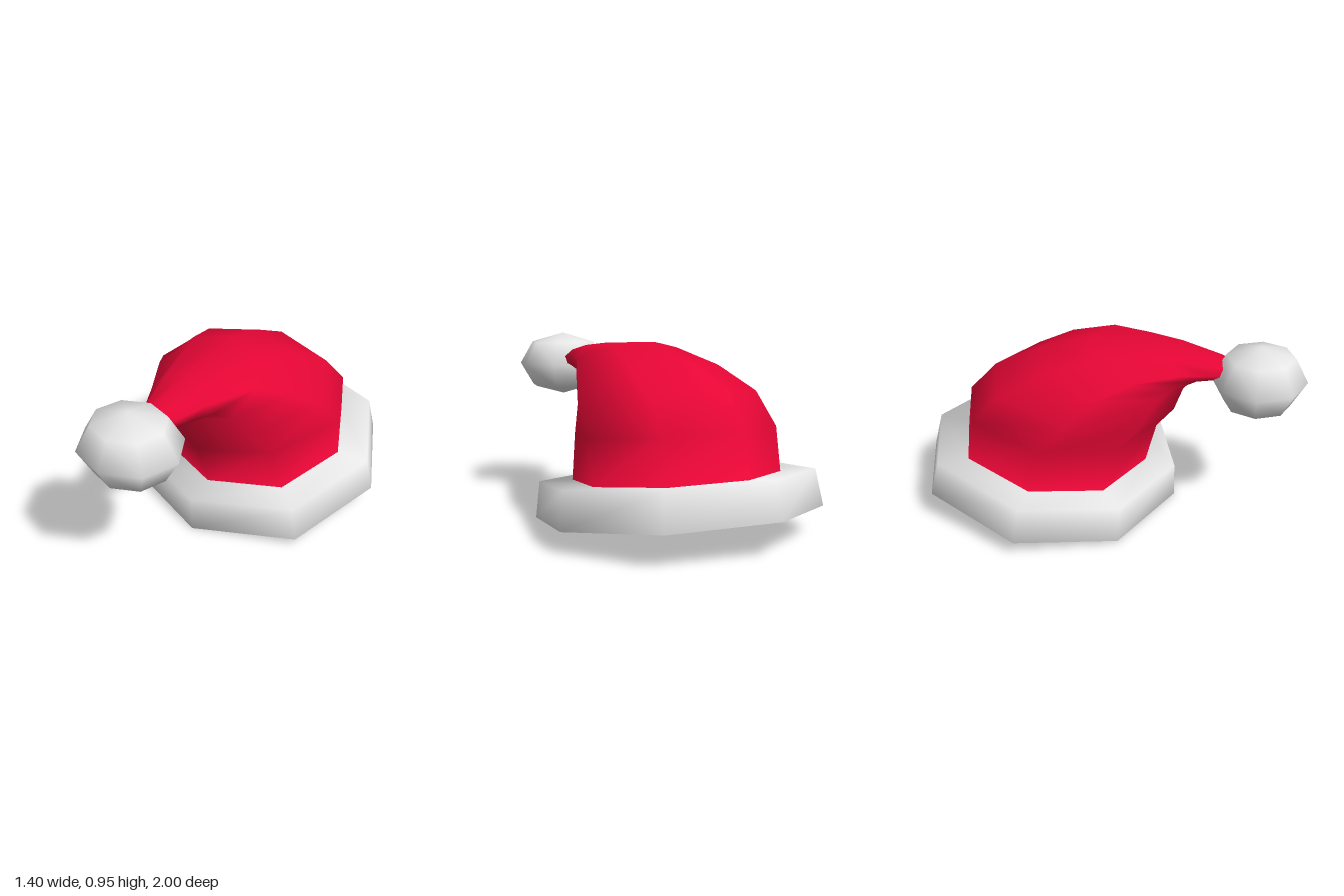
import * as THREE from 'three';

// Uneven octagon shared by every loop of the hat: [across, forward], both -1 to 1
const OUTLINE = [
  [0.2, 1], [0.88, 0.6], [1, -0.2], [0.57, -0.85],
  [-0.2, -1], [-0.82, -0.63], [-1, 0.18], [-0.58, 0.83],
];
const SIDES = OUTLINE.length;

// Loop of half width r at height h above the tilted base of the brim
function brimRing([r, h]) {
  const s = Math.sin(0.13), c = Math.cos(0.13);
  return OUTLINE.map(([u, t]) => [
    r * u,
    0.089 + h * c - 0.98 * r * t * s,
    -0.32 + h * s + 0.98 * r * t * c,
  ]);
}

// Slanted loop between a front and a back point; pinch narrows its front
function capRing([fz, fy, bz, by, x, w, pinch]) {
  return OUTLINE.map(([u, t]) => [
    x + w * u * (1 - pinch * Math.max(t, 0)),
    (fy + by) / 2 + ((fy - by) / 2) * t,
    (fz + bz) / 2 + ((fz - bz) / 2) * t,
  ]);
}

// Triangles joining neighbouring loops from loop i0 to loop i1
function bandIndex(i0, i1) {
  const index = [];
  for (let i = i0; i < i1; i++) {
    for (let k = 0; k < SIDES; k++) {
      const a = i * SIDES + k, b = i * SIDES + ((k + 1) % SIDES);
      index.push(a, b, b + SIDES, a, b + SIDES, a + SIDES);
    }
  }
  return index;
}

export function createModel() {
  const group = new THREE.Group();
  const red = new THREE.MeshStandardMaterial({ color: 0xe60635 });
  red.name = 'red felt';
  const white = new THREE.MeshStandardMaterial({ color: 0xe6e6e6 });
  white.name = 'white fluff';

  // Recessed base, underside, outer wall and top of the brim: [half width, height]
  const brimLoops = [
    [0.001, 0.11], [0.59, 0.09], [0.64, 0], [0.7, 0], [0.672, 0.185],
  ].map(brimRing);

  // Drooping cap: front z, front y, back z, back y, centre x, half width, pinch
  const capLoops = [
    [0.2, 0.21, -0.79, 0.33, 0, 0.505, 0],
    [0.26, 0.44, -0.76, 0.55, 0.01, 0.51, 0.2],
    [0.36, 0.57, -0.6, 0.72, 0.01, 0.485, 0.38],
    [0.4, 0.69, -0.36, 0.84, 0.04, 0.4, 0.4],
    [0.44, 0.73, -0.08, 0.93, 0.065, 0.29, 0.3],
    [0.5, 0.76, 0.33, 0.91, 0.12, 0.165, 0],
    [0.57, 0.76, 0.56, 0.87, 0.145, 0.1, 0],
    [0.64, 0.76, 0.64, 0.84, 0.15, 0.08, 0],
  ].map(capRing);

  // One continuous surface gives smooth normals where cap meets brim
  const loops = [...brimLoops, ...capLoops];
  const whole = new THREE.BufferGeometry();
  whole.setAttribute('position', new THREE.Float32BufferAttribute(loops.flat(2), 3));
  whole.setIndex(bandIndex(0, loops.length - 1));
  whole.computeVertexNormals();

  const addBand = (name, material, i0, i1) => {
    const geometry = whole.clone();
    geometry.setIndex(bandIndex(i0, i1));
    const mesh = new THREE.Mesh(geometry, material);
    mesh.name = name;
    group.add(mesh);
  };
  addBand('recessedBase', white, 0, 2);
  addBand('brim', white, 2, brimLoops.length);
  addBand('cap', red, brimLoops.length, loops.length - 1);

  // Pompom at the tip
  const ball = new THREE.SphereGeometry(1, SIDES, 4);
  ball.rotateY(THREE.MathUtils.degToRad(12.5));
  ball.scale(0.262, 0.18, 0.24);
  const pompom = new THREE.Mesh(ball, white);
  pompom.name = 'pompom';
  pompom.position.set(0.178, 0.77, 0.766);
  group.add(pompom);

  return group;
}
